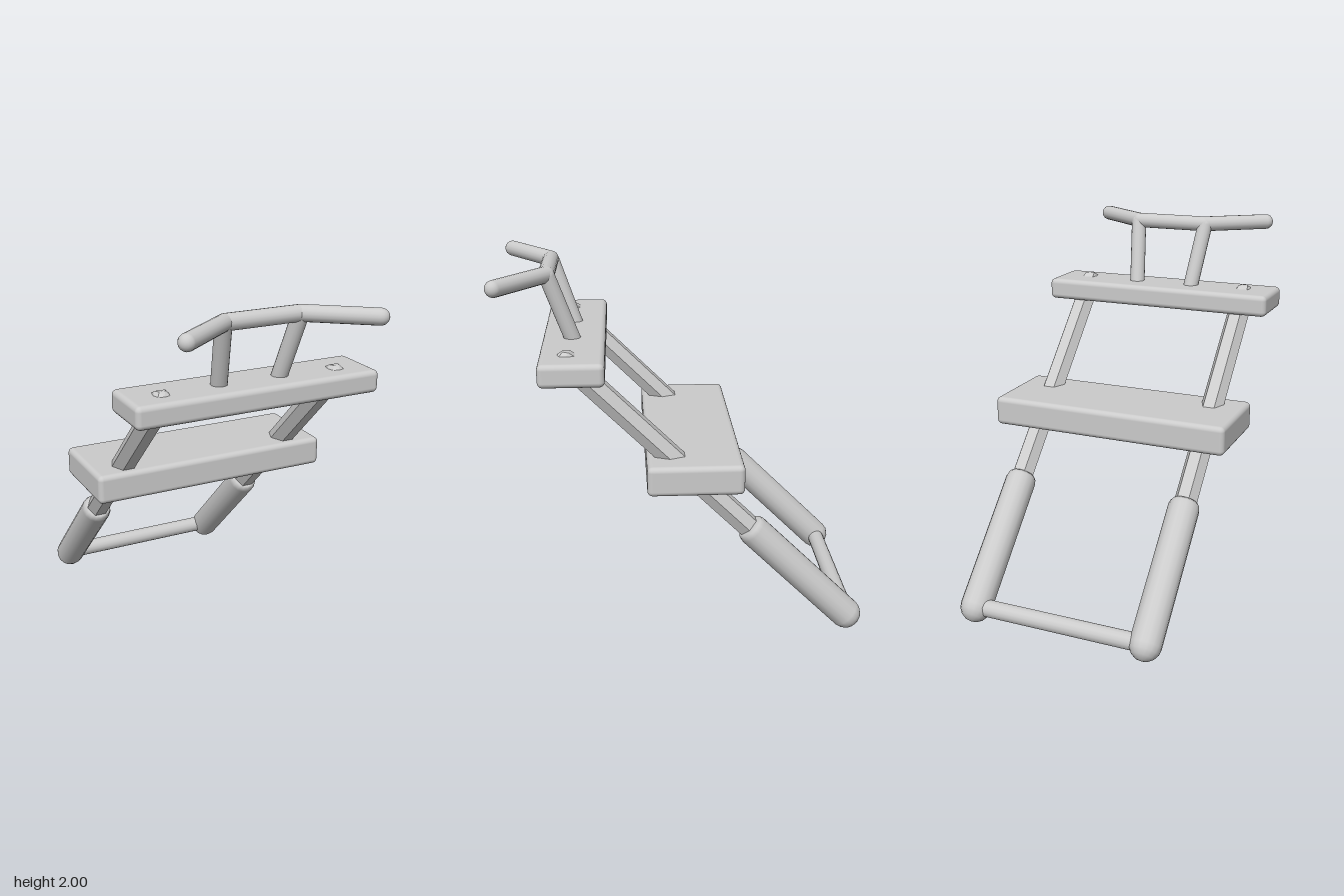
import * as THREE from 'three';
import { RoundedBoxGeometry } from 'three/addons/geometries/RoundedBoxGeometry.js';

const smooth = new THREE.MeshStandardMaterial({ color: 0xcccccc });
const faceted = new THREE.MeshStandardMaterial({ color: 0xcccccc, flatShading: true });

export function createModel() {
  const model = new THREE.Group();
  const V = (x, y, z) => new THREE.Vector3(x, y, z);

  function add(name, geometry, material = smooth, parent = model) {
    const mesh = new THREE.Mesh(geometry, material);
    mesh.name = name;
    parent.add(mesh);
    return mesh;
  }

  // Round-ended rod between two points
  function rod(name, a, b, radius, parent = model) {
    const dir = b.clone().sub(a);
    const mesh = add(name, new THREE.CapsuleGeometry(radius, dir.length(), 5, 16), smooth, parent);
    mesh.position.copy(a).add(b).multiplyScalar(0.5);
    mesh.quaternion.setFromUnitVectors(V(0, 1, 0), dir.normalize());
    return mesh;
  }

  // Lathed part on the 45 degree slope, starting at height y
  function sloped(name, profile, sides, material, x, y) {
    const points = profile.map(([r, h]) => new THREE.Vector2(r, h));
    const mesh = add(name, new THREE.LatheGeometry(points, sides, Math.PI / 2), material);
    mesh.position.set(x, y, y - 0.982);
    mesh.rotation.x = Math.PI / 4;
  }

  // Boards
  function board(name, width, height, depth, y, z) {
    add(name, new RoundedBoxGeometry(width, height, depth, 3, 0.028)).position.set(0, y, z);
  }
  board('upperBoard', 1.35, 0.12, 0.33, 1.555, 0.57);
  board('lowerBoard', 1.35, 0.16, 0.5, 0.985, -0.045);

  // Hexagonal rails with domed tips, and the thicker sleeves at their feet
  const railLength = (1.575 - 0.4) * Math.SQRT2;
  const sleeveLength = (0.645 - 0.088) * Math.SQRT2;
  const dome = [0, 1, 2, 3].map((i) => {
    const a = (i / 3) * Math.PI / 2;
    return [0.064 * Math.cos(a), railLength + 0.064 * Math.sin(a)];
  });
  const foot = [0, 1, 2, 3, 4].map((i) => {
    const a = (i / 4) * Math.PI / 2;
    return [0.085 * Math.sin(a), -0.085 * Math.cos(a)];
  });
  for (const [side, s] of [['left', 1], ['right', -1]]) {
    sloped(side + 'Rail', [[0, 0], [0.064, 0], ...dome], 6, faceted, s * 0.49, 0.4);
    sloped(side + 'Sleeve', [
      ...foot,
      [0.085, sleeveLength - 0.04],
      [0.078, sleeveLength - 0.015],
      [0.066, sleeveLength],
      [0, sleeveLength],
    ], 16, smooth, s * 0.49, 0.088);
  }

  // Bar joining the feet
  rod('footBar', V(-0.45, 0.092, -0.896), V(0.45, 0.092, -0.896), 0.047);

  // Handlebar with two leaning posts and swept grips
  const handlebar = new THREE.Group();
  handlebar.name = 'handlebar';
  model.add(handlebar);
  rod('handlebarCentre', V(-0.205, 1.957, 0.697), V(0.205, 1.957, 0.697), 0.043, handlebar);
  for (const [side, s] of [['left', 1], ['right', -1]]) {
    rod(side + 'Grip', V(s * 0.205, 1.957, 0.697), V(s * 0.512, 1.957, 0.932), 0.043, handlebar);
    rod(side + 'Post', V(s * 0.165, 1.56, 0.56), V(s * 0.21, 1.95, 0.695), 0.043, handlebar);
  }

  return model;
}
